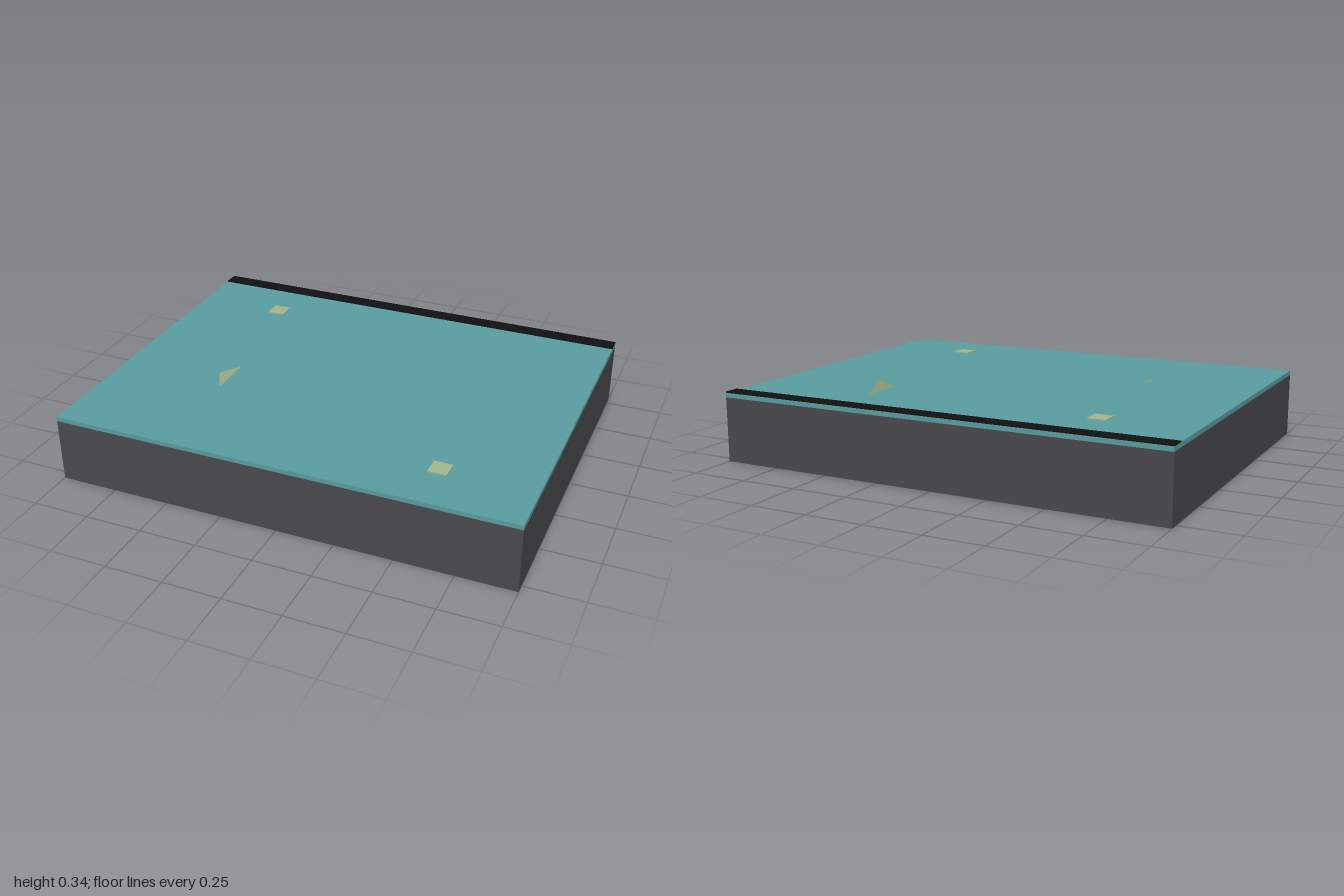
import * as THREE from 'three';

const mat = (name, color, side = THREE.FrontSide) => {
  const m = new THREE.MeshStandardMaterial({ color, side });
  m.name = name;
  return m;
};

export function createModel() {
  const group = new THREE.Group();
  group.name = 'groundTile';

  const stone = mat('dark grey', 0x4a4a4d);
  const teal = mat('teal', 0x5a9ea1);
  const black = mat('black', 0x111111);
  const green = mat('pale green', 0xa3b78e);
  const leaf = mat('leaf green', 0x9aa982, THREE.DoubleSide);

  // Box given by its size, centre and bottom height
  const block = (name, material, w, h, d, x, y, z) => {
    const mesh = new THREE.Mesh(new THREE.BoxGeometry(w, h, d), material);
    mesh.position.set(x, y + h / 2, z);
    mesh.name = name;
    group.add(mesh);
  };

  // Leaning triangular blade rooted on the surface
  const blade = (name, x, zBack, zFront, tip) => {
    const geometry = new THREE.BufferGeometry().setFromPoints([
      new THREE.Vector3(x, 0.3, zBack),
      new THREE.Vector3(x, 0.3, zFront),
      new THREE.Vector3(...tip),
    ]);
    geometry.setIndex(tip[0] < x ? [0, 2, 1] : [0, 1, 2]); // front side faces up
    geometry.computeVertexNormals();
    const mesh = new THREE.Mesh(geometry, leaf);
    mesh.name = name;
    group.add(mesh);
  };

  // Slab and surface layer
  block('base', stone, 2, 0.28, 1.58, 0, 0, 0);
  block('surface', teal, 2, 0.02, 1.58, 0, 0.28, 0);
  block('backStripe', black, 2, 0.005, 0.07, 0, 0.3, -0.755);

  // Small square pads
  block('backPad', green, 0.08, 0.005, 0.08, -0.6, 0.3, -0.505);
  block('frontPad', green, 0.08, 0.005, 0.08, 0.6, 0.3, 0.55);

  // Blades
  blade('rightBlade', -0.5, 0.09, 0.295, [-0.545, 0.318, 0.215]);
  blade('leftBlade', 0.437, -0.56, -0.355, [0.46, 0.343, -0.43]);

  return group;
}
